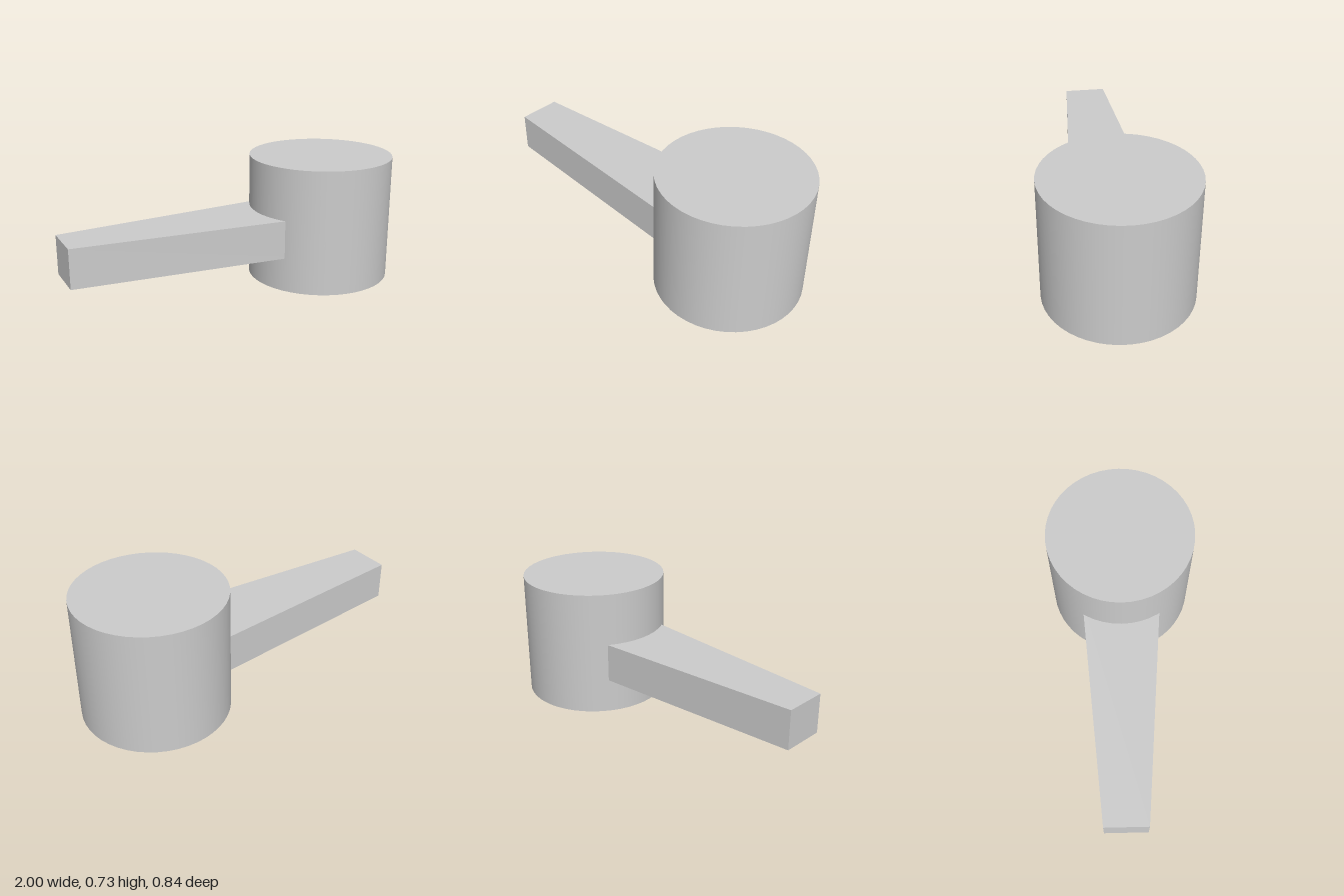
import * as THREE from 'three';

export function createModel() {
  const group = new THREE.Group();
  const material = new THREE.MeshStandardMaterial({ color: 0xcccccc });

  // Solid round body
  const radius = 0.421, height = 0.73, bodyX = 1 - radius;
  const body = new THREE.Mesh(new THREE.CylinderGeometry(radius, radius, height, 48), material);
  body.name = 'body';
  body.position.set(bodyX, height / 2, 0);
  group.add(body);

  // Tapered handle: a trapezoid plan extruded upward, its wide end sunk into the body
  const plan = new THREE.Shape([
    new THREE.Vector2(-1, -0.124),
    new THREE.Vector2(0.3, -0.226),
    new THREE.Vector2(0.3, 0.226),
    new THREE.Vector2(-1, 0.124),
  ]);
  const handleGeometry = new THREE.ExtrudeGeometry(plan, { depth: 0.225, bevelEnabled: false });
  handleGeometry.rotateX(-Math.PI / 2);
  const handle = new THREE.Mesh(handleGeometry, material);
  handle.name = 'handle';
  handle.position.y = 0.2;
  group.add(handle);

  return group;
}
